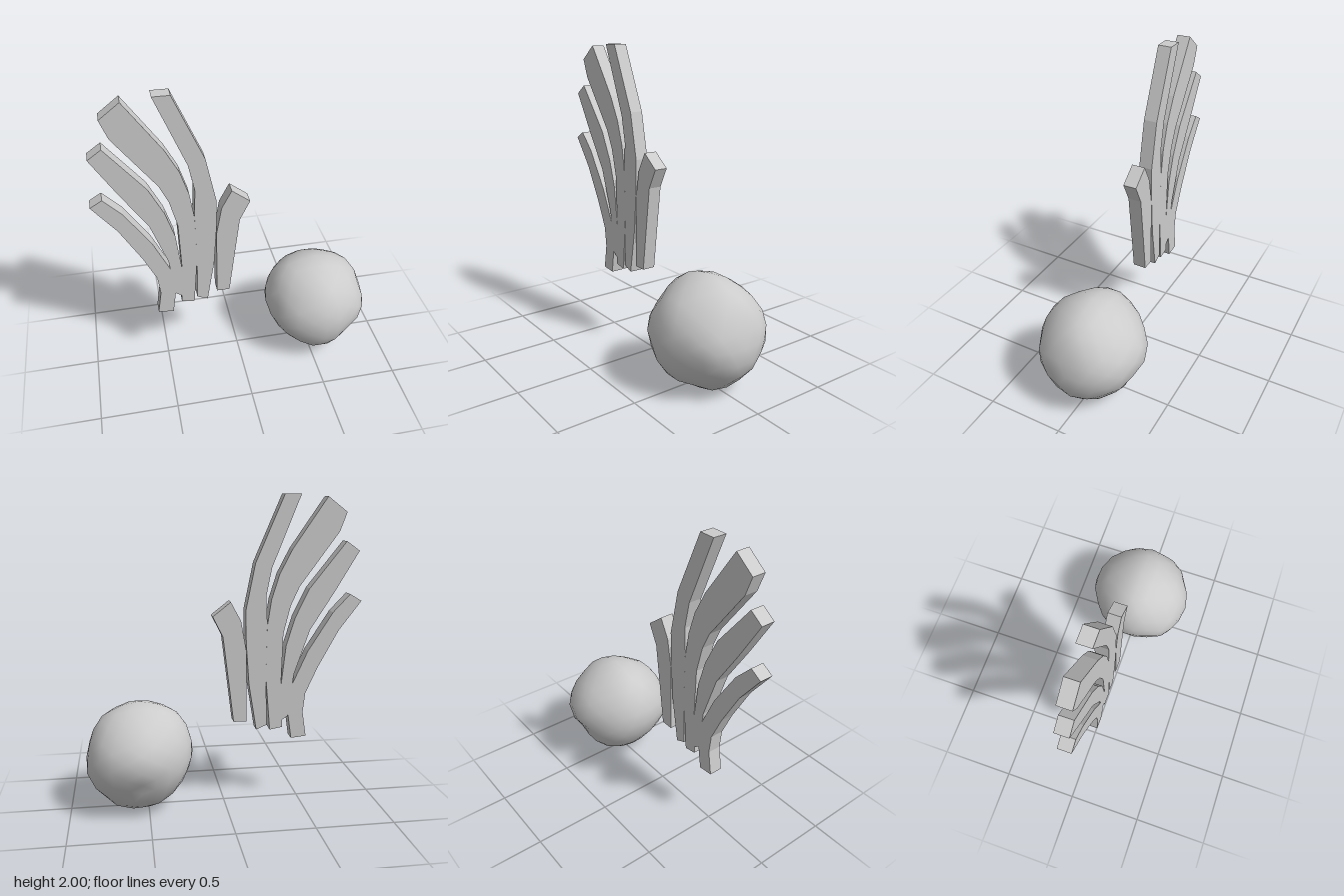
import * as THREE from 'three';
import { mergeVertices } from 'three/addons/utils/BufferGeometryUtils.js';

const material = new THREE.MeshStandardMaterial({ color: 0xcccccc });

// Each blade: left edge and right edge, both from bottom to top (x, y)
const blades = [
  {
    left: [[-0.545, 0.435], [-0.52, 0.6], [-0.535, 0.73], [-0.615, 0.905], [-0.745, 1.14], [-0.89, 1.33]],
    right: [[-0.445, 0.425], [-0.42, 0.6], [-0.44, 0.78], [-0.545, 1.01], [-0.705, 1.26], [-0.815, 1.375]],
  },
  {
    left: [[-0.42, 0.58], [-0.455, 0.86], [-0.555, 1.15], [-0.715, 1.4], [-0.865, 1.65]],
    right: [[-0.37, 0.545], [-0.37, 0.78], [-0.4, 1.05], [-0.455, 1.23], [-0.545, 1.415], [-0.78, 1.71]],
  },
  {
    left: [[-0.385, 0.505], [-0.37, 0.78], [-0.38, 1.13], [-0.425, 1.31], [-0.48, 1.43], [-0.73, 1.77], [-0.775, 1.89]],
    right: [[-0.3, 0.49], [-0.27, 0.85], [-0.275, 1.18], [-0.3, 1.35], [-0.35, 1.51], [-0.43, 1.665], [-0.65, 1.985]],
  },
  {
    left: [[-0.28, 0.525], [-0.27, 0.85], [-0.275, 1.2], [-0.265, 1.37], [-0.3, 1.55], [-0.48, 2]],
    right: [[-0.21, 0.495], [-0.16, 0.8], [-0.14, 1.07], [-0.135, 1.28], [-0.195, 1.58], [-0.375, 2]],
  },
  {
    left: [[-0.145, 0.555], [-0.14, 1.03], [-0.105, 1.22], [-0.04, 1.34]],
    right: [[-0.06, 0.555], [-0.03, 0.8], [0.01, 1.12], [0.075, 1.25]],
  },
];

function createBlade({ left, right }) {
  const outline = [...right, ...left.slice().reverse()].map(([x, y]) => new THREE.Vector2(x, y));
  const geometry = new THREE.ExtrudeGeometry(new THREE.Shape(outline), { depth: 0.088, bevelEnabled: false });
  geometry.translate(0, 0, -0.044);
  return new THREE.Mesh(geometry, material);
}

// Bumps and dents of the boulder, measured from its centre
const bumps = [
  [-0.345, 0.045, 0], [-0.245, 0.265, 0], [0, 0.355, 0], [0.255, 0.245, 0], [0.325, 0.095, 0],
  [0.345, -0.085, 0], [0.34, -0.165, 0], [0.255, -0.235, 0], [0.175, -0.325, 0], [0.125, -0.35, 0],
  [-0.045, -0.35, 0], [-0.145, -0.305, 0], [-0.245, -0.205, 0], [-0.315, -0.075, 0],
  [0, 0, 0.36], [0, 0.045, -0.358], [0, 0.195, 0.29], [0, -0.21, 0.3], [0, 0.165, -0.29],
  [0, 0.27, -0.18], [0, -0.13, -0.28], [0, -0.295, -0.18],
  [-0.205, 0, 0.3], [0.295, 0, 0.21], [0.295, 0, -0.2], [0.2, 0, -0.3], [-0.185, 0, -0.27],
].map((p) => {
  const v = new THREE.Vector3(...p);
  const radius = v.length();
  return { dir: v.normalize(), radius };
});

function createBoulder() {
  let geometry = new THREE.IcosahedronGeometry(1, 3);
  geometry.deleteAttribute('normal');
  geometry.deleteAttribute('uv');
  geometry = mergeVertices(geometry, 1e-4);
  const position = geometry.attributes.position;
  const v = new THREE.Vector3();
  for (let i = 0; i < position.count; i++) {
    v.fromBufferAttribute(position, i).normalize();
    // Blend the nearby bump radii over a base radius
    let weights = 0.12;
    let sum = 0.12 * 0.335;
    for (const { dir, radius } of bumps) {
      const w = Math.exp(30 * (v.dot(dir) - 1));
      weights += w;
      sum += w * radius;
    }
    v.multiplyScalar(sum / weights);
    position.setXYZ(i, Math.min(v.x, 0.345), THREE.MathUtils.clamp(v.y, -0.355, 0.355), v.z);
  }
  geometry.computeVertexNormals();
  const boulder = new THREE.Mesh(geometry, material);
  boulder.name = 'boulder';
  boulder.position.set(0.545, 0.355, 0);
  return boulder;
}

export function createModel() {
  const model = new THREE.Group();
  const tuft = new THREE.Group();
  tuft.name = 'grassTuft';
  blades.forEach((blade, i) => {
    const mesh = createBlade(blade);
    mesh.name = `grassBlade${i + 1}`;
    tuft.add(mesh);
  });
  model.add(tuft, createBoulder());
  return model;
}
